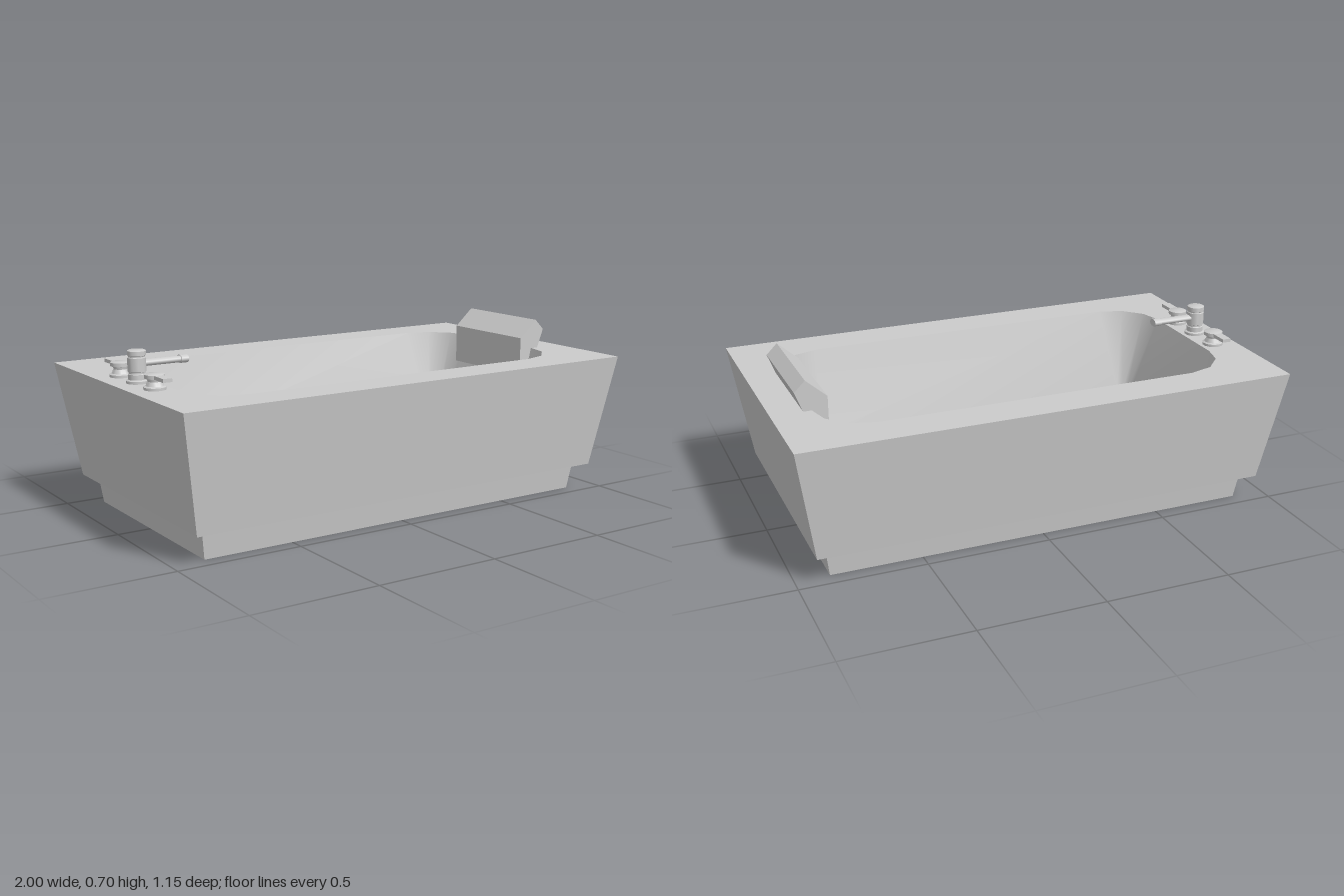
import * as THREE from 'three';
import { toCreasedNormals } from 'three/addons/utils/BufferGeometryUtils.js';

const grey = new THREE.MeshStandardMaterial({ color: 0xcccccc });

function mesh(name, geometry, parent, x = 0, y = 0, z = 0) {
  const m = new THREE.Mesh(geometry, grey);
  m.name = name;
  m.position.set(x, y, z);
  parent.add(m);
  return m;
}

// Mirror the points of one quarter into a full counter-clockwise outline
function outline(quarter) {
  const loop = [];
  [[1, 1], [-1, 1], [-1, -1], [1, -1]].forEach(([sx, sy], i) => {
    const q = i % 2 ? [...quarter].reverse() : quarter;
    q.forEach(([x, y]) => loop.push(new THREE.Vector2(x * sx, y * sy)));
  });
  return loop;
}

// Skin between outlines of equal length: [outline, height] pairs
function loft(levels, crease) {
  const pos = [], index = [], n = levels[0][0].length;
  levels.forEach(([loop, y]) => loop.forEach(p => pos.push(p.x, y, -p.y)));
  for (let k = 0; k < levels.length - 1; k++) {
    for (let i = 0; i < n; i++) {
      const j = (i + 1) % n, a = k * n + i, b = k * n + j;
      index.push(a, b, b + n, a, b + n, a + n);
    }
  }
  const g = new THREE.BufferGeometry();
  g.setAttribute('position', new THREE.Float32BufferAttribute(pos, 3));
  g.setIndex(index);
  return toCreasedNormals(g, crease);
}

function flat(loop, hole) {
  const s = new THREE.Shape(loop);
  if (hole) s.holes.push(new THREE.Path(hole));
  return new THREE.ShapeGeometry(s).rotateX(-Math.PI / 2);
}

// Turned part with crisp edges from [radius, height] points
function turned(points) {
  const g = new THREE.LatheGeometry(points.map(p => new THREE.Vector2(...p)), 24);
  return toCreasedNormals(g, 0.6);
}

export function createModel() {
  const group = new THREE.Group();
  const rimY = 0.572, floorY = 0.22;

  // Outer shell: plinth and flared apron
  const baseBottom = outline([[0.865, 0.44]]);
  const rim = outline([[1, 0.575]]);
  mesh('apron', loft([
    [baseBottom, 0],
    [outline([[0.88, 0.455]]), 0.11],
    [outline([[0.925, 0.505]]), 0.11],
    [rim, rimY],
  ], 0.3), group);
  mesh('underside', flat(baseBottom).rotateX(Math.PI), group);

  // Rim, basin walls and basin floor
  const opening = outline([[0.842, 0.22], [0.82, 0.31], [0.75, 0.385], [0.65, 0.415]]);
  const floor = outline([[0.75, 0.275], [0.745, 0.298], [0.732, 0.312], [0.705, 0.317]]);
  mesh('rim', flat(rim, opening), group, 0, rimY);
  mesh('basinWall', loft([[opening, rimY], [floor, floorY]], 0.7), group);
  mesh('basinFloor', flat(floor), group, 0, floorY);
  mesh('drain', turned([[0.03, 0], [0.03, 0.006], [0.024, 0.006], [0.022, 0.003], [0, 0.003]]),
    group, -0.45, floorY);

  // Headrest hooked over the rim at the sloping end
  const pad = new THREE.Shape([
    [0.875, 0.572], [0.905, 0.65], [0.862, 0.693], [0.78, 0.62],
    [0.78, 0.46], [0.812, 0.455], [0.84, 0.572],
  ].map(p => new THREE.Vector2(...p)));
  mesh('headrest', new THREE.ExtrudeGeometry(pad, { depth: 0.436, bevelEnabled: false }),
    group, 0, 0, -0.218);

  // Spout on its post
  const faucet = new THREE.Group();
  faucet.name = 'faucet';
  faucet.position.set(-0.9, rimY, 0);
  group.add(faucet);
  mesh('spoutPost', turned([
    [0.042, 0], [0.042, 0.01], [0.034, 0.014], [0.034, 0.034], [0.031, 0.036],
    [0.031, 0.042], [0.035, 0.044], [0.035, 0.096], [0.032, 0.098], [0.032, 0.102],
    [0.035, 0.104], [0.035, 0.121], [0.03, 0.124], [0, 0.124],
  ]), faucet);
  const spout = new THREE.CylinderGeometry(0.02, 0.02, 0.17, 16).rotateZ(Math.PI / 2).scale(1, 0.65, 1);
  mesh('spout', spout, faucet, 0.1, 0.073);
  const tip = new THREE.CylinderGeometry(0.024, 0.024, 0.03, 16).rotateZ(Math.PI / 2).scale(1, 0.65, 1);
  mesh('spoutTip', tip, faucet, 0.19, 0.073);

  // Pair of lever handles
  for (const side of [1, -1]) {
    const handle = new THREE.Group();
    handle.name = side > 0 ? 'frontHandle' : 'backHandle';
    handle.position.set(-0.9, rimY, side * 0.15);
    group.add(handle);
    mesh('handleHub', turned([
      [0.042, 0], [0.042, 0.01], [0.034, 0.014], [0.026, 0.03], [0.028, 0.04],
      [0.038, 0.042], [0.038, 0.056], [0.034, 0.058], [0, 0.058],
    ]), handle);
    mesh('lever', new THREE.BoxGeometry(0.036, 0.014, 0.085), handle, 0, 0.049, side * 0.0645);
  }
  return group;
}
